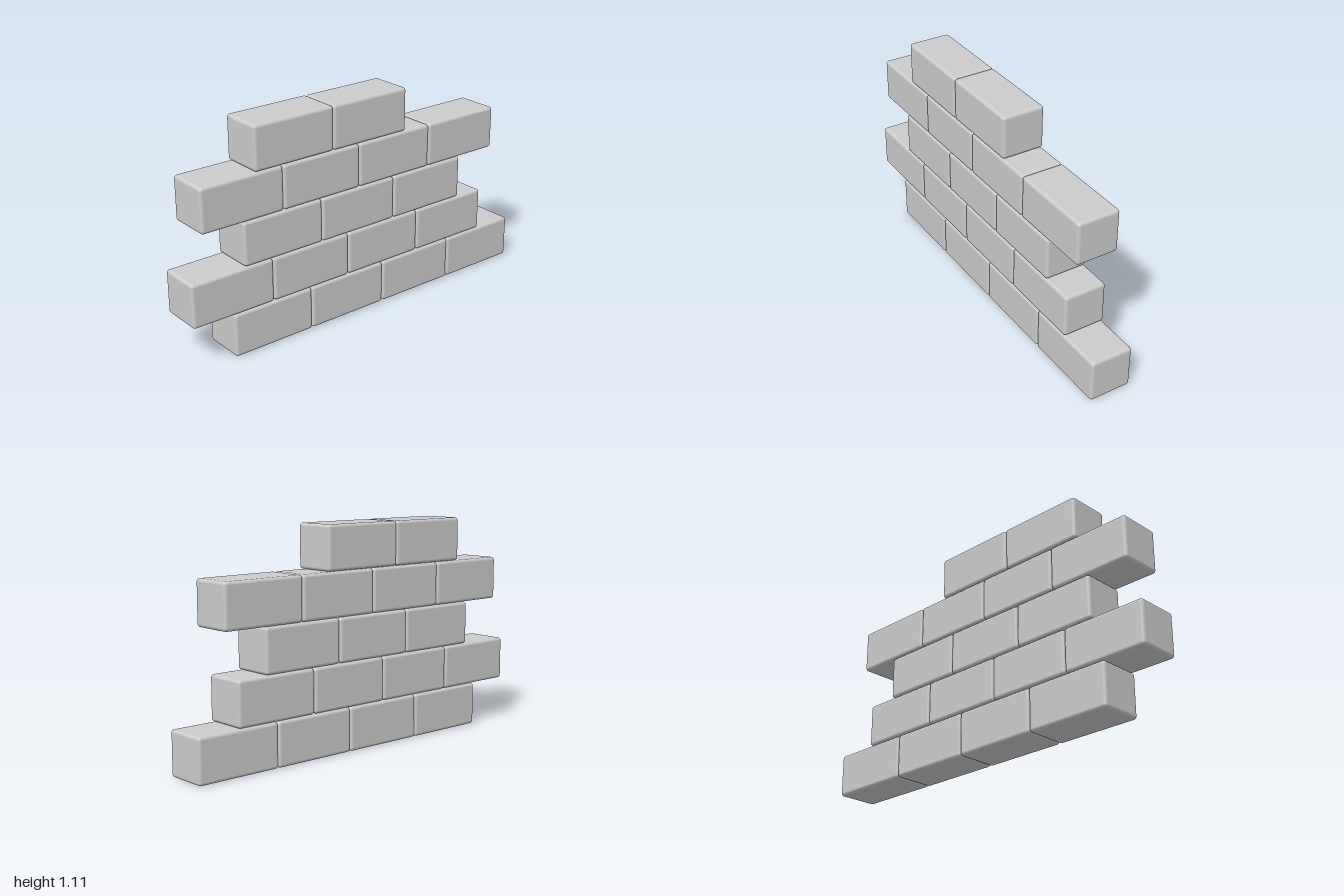
import * as THREE from 'three';
import { RoundedBoxGeometry } from 'three/addons/geometries/RoundedBoxGeometry.js';

const PITCH = 0.445; // brick spacing along a course
const COURSE = 0.222; // course height
const DEPTH = 0.22;

// Each course: left edge and number of bricks, from the bottom up
const COURSES = [
  { start: -0.78, count: 4 },
  { start: -1.0, count: 4 },
  { start: -0.713, count: 3 },
  { start: -0.932, count: 4 },
  { start: -0.642, count: 2 },
];

export function createModel() {
  const wall = new THREE.Group();
  wall.name = 'brickWall';
  const material = new THREE.MeshStandardMaterial({ color: 0xcccccc });
  const brickGeometry = new RoundedBoxGeometry(PITCH - 0.001, COURSE - 0.001, DEPTH, 3, 0.016);

  // Staggered courses of identical soft-edged bricks
  COURSES.forEach(({ start, count }, row) => {
    const course = new THREE.Group();
    course.name = `course${row + 1}`;
    for (let i = 0; i < count; i++) {
      const brick = new THREE.Mesh(brickGeometry, material);
      brick.name = `brick${i + 1}`;
      brick.position.set(start + (i + 0.5) * PITCH, (row + 0.5) * COURSE, 0);
      course.add(brick);
    }
    wall.add(course);
  });
  return wall;
}
